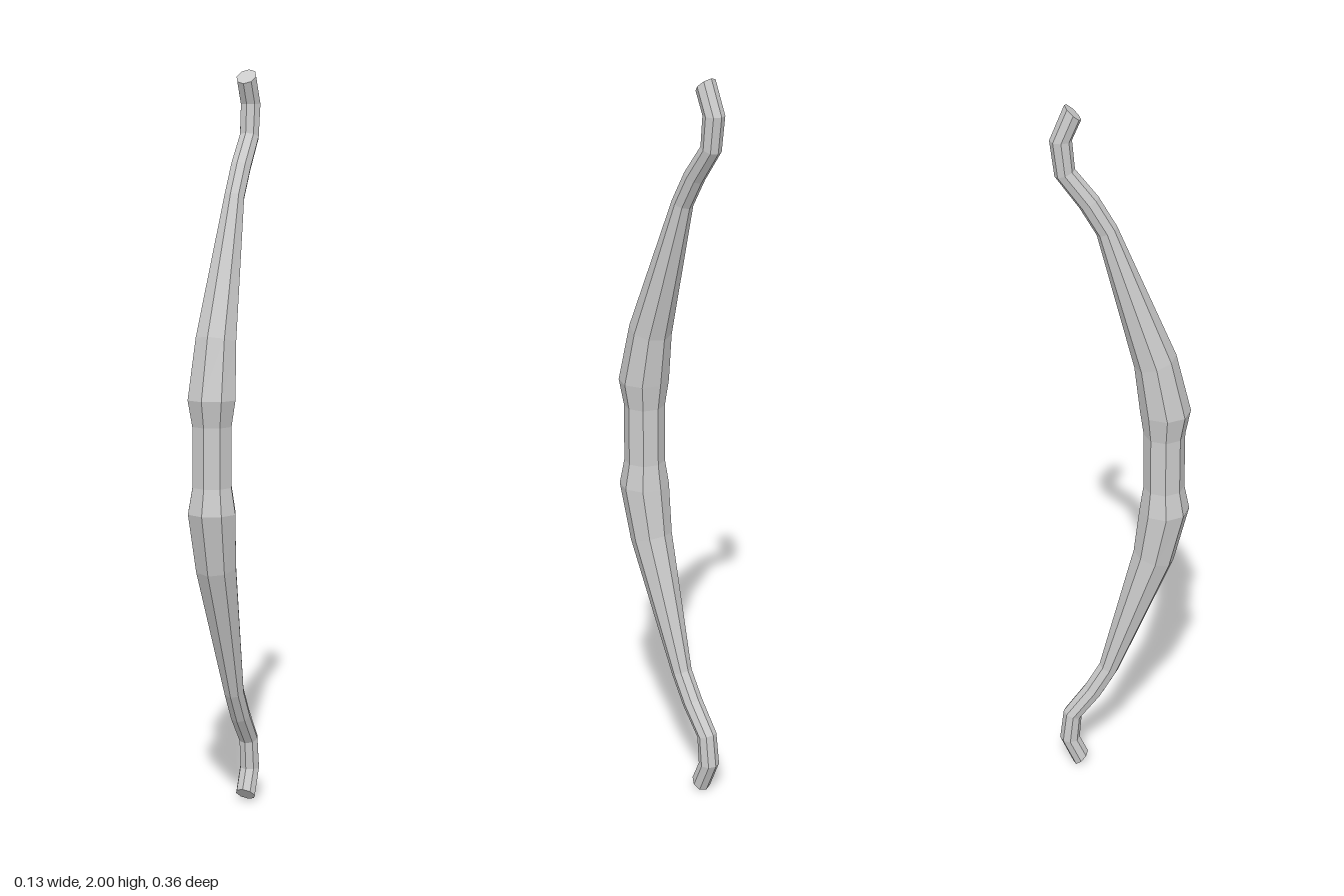
import * as THREE from 'three';

const SIDES = 8;

// Upper limb cross-sections, grip to tip: [y, z, radius, tilt about x]
const UPPER = [
  [1.08, 0.110, 0.055, 0],
  [1.15, 0.112, 0.067, 0],
  [1.298, 0.084, 0.057, 0.3],
  [1.668, -0.040, 0.028, 0.42],
  [1.745, -0.084, 0.028, 0.55],
  [1.825, -0.143, 0.027, 0.35],
  [1.91, -0.152, 0.028, 0],
  [1.981, -0.1215, 0.028, -0.75],
];

// Lofts eight-sided rings into a closed, faceted tube
function loft(rings) {
  const positions = [];
  const index = [];
  for (const [y, z, r, tilt] of rings) {
    for (let i = 0; i < SIDES; i++) {
      const a = (i / SIDES) * Math.PI * 2;
      const d = r * Math.cos(a);
      positions.push(r * Math.sin(a), y + d * Math.sin(tilt), z + d * Math.cos(tilt));
    }
  }
  for (let k = 0; k < rings.length - 1; k++) {
    for (let i = 0; i < SIDES; i++) {
      const a = k * SIDES + i;
      const b = k * SIDES + ((i + 1) % SIDES);
      index.push(a, b, b + SIDES, a, b + SIDES, a + SIDES);
    }
  }
  // End caps
  const top = (rings.length - 1) * SIDES;
  for (let i = 1; i < SIDES - 1; i++) {
    index.push(0, i + 1, i);
    index.push(top, top + i, top + i + 1);
  }
  const geometry = new THREE.BufferGeometry();
  geometry.setAttribute('position', new THREE.Float32BufferAttribute(positions, 3));
  geometry.setIndex(index);
  const flat = geometry.toNonIndexed();
  flat.computeVertexNormals();
  return flat;
}

export function createModel() {
  const group = new THREE.Group();
  group.name = 'bow';
  const material = new THREE.MeshStandardMaterial({ color: 0xcccccc, flatShading: true });

  // The lower limb mirrors the upper one about y = 1
  const lower = UPPER.map(([y, z, r, tilt]) => [2 - y, z, r, -tilt]).reverse();
  const stave = new THREE.Mesh(loft([...lower, ...UPPER]), material);
  stave.name = 'bowStave';
  group.add(stave);
  return group;
}
